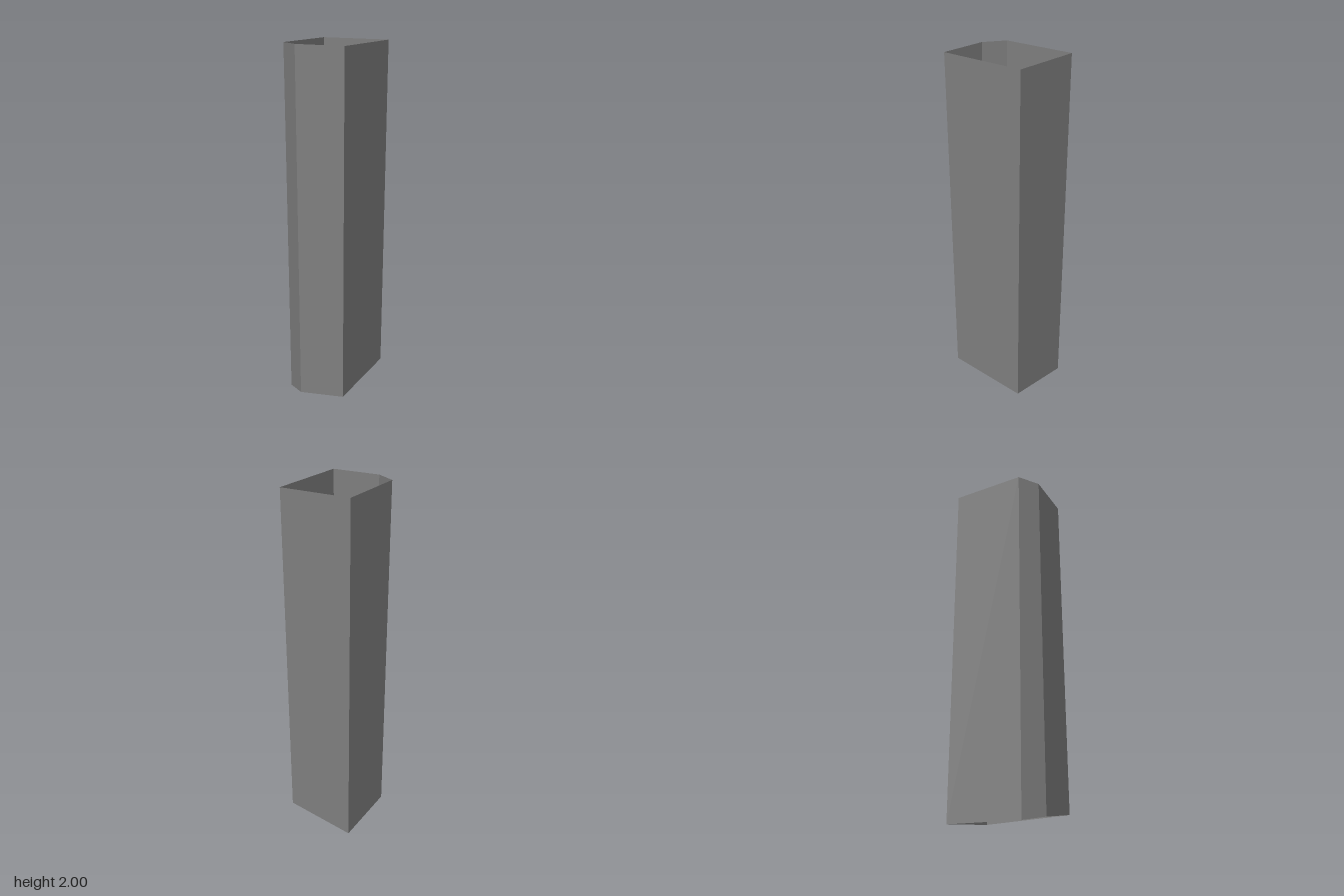
import * as THREE from 'three';

const TOP = 2;

// Floor-plan corners, counter-clockwise from above: x, z and the height of the slanted lower rim
const corners = [
  { x: -0.227, z: 0.225, y: 0.083 },
  { x: 0.261, z: 0.168, y: 0.077 },
  { x: 0.214, z: -0.225, y: 0.016 },
  { x: -0.2, z: -0.172, y: 0 },
  { x: -0.261, z: -0.05, y: 0.028 },
];
const wallNames = ['frontWall', 'leftWall', 'backWall', 'backCornerWall', 'rightWall'];

// One thin upright panel between two neighbouring corners
function wall(a, b, material, name) {
  const geometry = new THREE.BufferGeometry();
  geometry.setAttribute('position', new THREE.Float32BufferAttribute([
    a.x, a.y, a.z, b.x, b.y, b.z, b.x, TOP, b.z, a.x, TOP, a.z,
  ], 3));
  geometry.setIndex([0, 1, 2, 0, 2, 3]);
  geometry.computeVertexNormals();
  const mesh = new THREE.Mesh(geometry, material);
  mesh.name = name;
  return mesh;
}

export function createModel() {
  const group = new THREE.Group();
  group.name = 'openShaft';
  const grey = new THREE.MeshStandardMaterial({ color: 0x808080, side: THREE.DoubleSide });
  grey.name = 'grey';

  // Five walls around a shaft open at both ends
  corners.forEach((corner, i) => {
    group.add(wall(corner, corners[(i + 1) % corners.length], grey, wallNames[i]));
  });
  return group;
}
